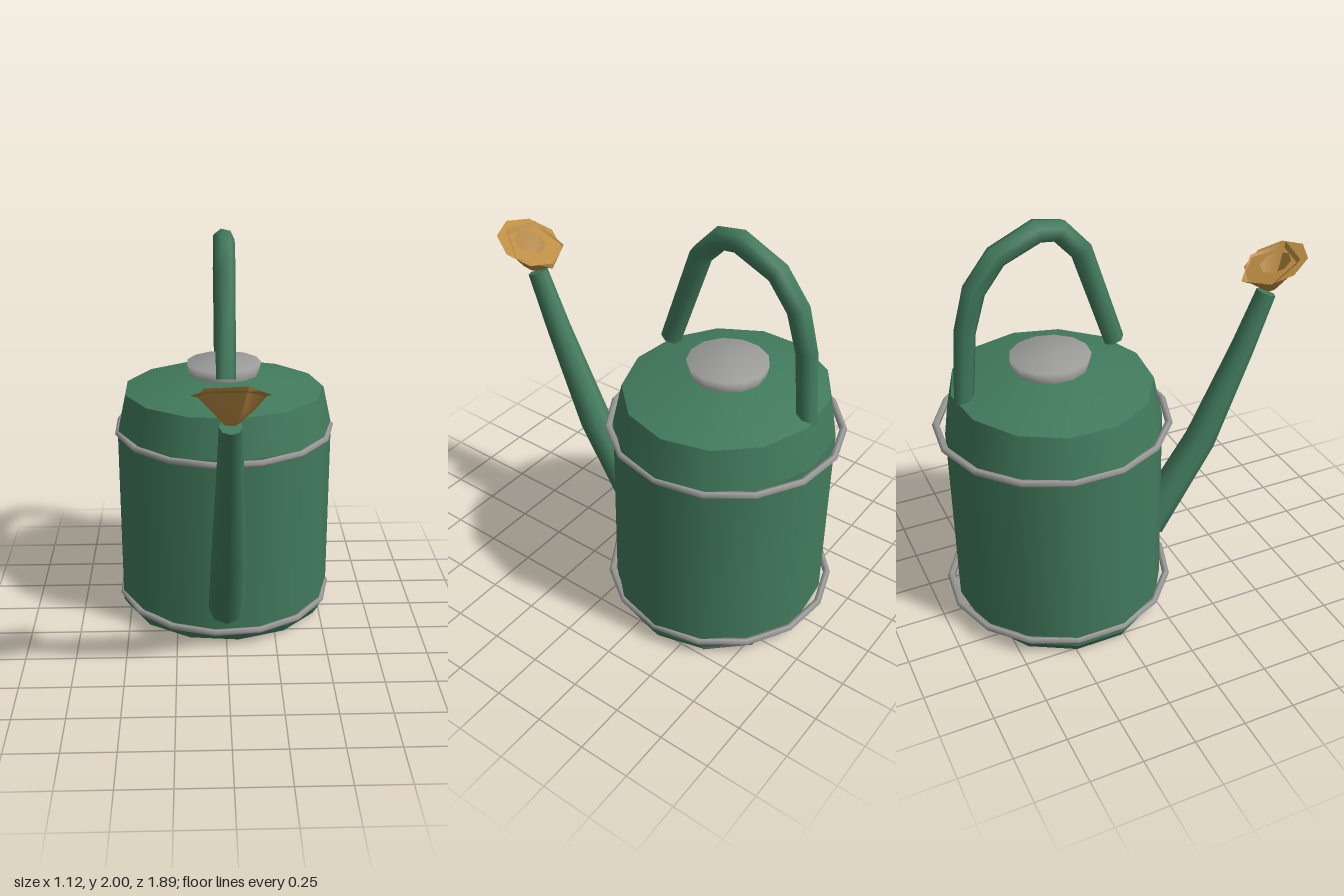
import * as THREE from 'three';

const makeMat = (name, color, side = THREE.FrontSide) => {
  const m = new THREE.MeshStandardMaterial({ color, side });
  m.name = name;
  return m;
};

// Round section of the can: profile of [radius, height], 13 sides with a corner on +x
const lathe = (points, sides = 13, start = Math.PI / 2) =>
  new THREE.LatheGeometry(points.map(([r, y]) => new THREE.Vector2(r, y)), sides, start);

// Capped, tapering tube through [z, y, radius] stations in the x = 0 plane
function bentTube(stations, sides) {
  const X = new THREE.Vector3(1, 0, 0);
  const centres = stations.map(([z, y]) => new THREE.Vector3(0, y, z));
  const pos = [], index = [];
  const n = stations.length;
  const ring = (i) => {
    const t = centres[Math.min(i + 1, n - 1)].clone().sub(centres[Math.max(i - 1, 0)]).normalize();
    const side = t.cross(X);
    for (let j = 0; j < sides; j++) {
      const a = (j / sides) * Math.PI * 2;
      const p = centres[i].clone()
        .addScaledVector(X, Math.cos(a) * stations[i][2])
        .addScaledVector(side, Math.sin(a) * stations[i][2]);
      pos.push(p.x, p.y, p.z);
    }
  };
  for (let i = 0; i < n; i++) ring(i);
  for (let i = 0; i < n - 1; i++) {
    for (let j = 0; j < sides; j++) {
      const a = i * sides + j, b = i * sides + (j + 1) % sides;
      index.push(a, b, b + sides, a, b + sides, a + sides);
    }
  }
  // End caps use their own vertices so their edges stay sharp
  for (const end of [0, n - 1]) {
    const base = pos.length / 3;
    ring(end);
    for (let j = 1; j < sides - 1; j++) {
      if (end === 0) index.push(base, base + j + 1, base + j);
      else index.push(base, base + j, base + j + 1);
    }
  }
  const g = new THREE.BufferGeometry();
  g.setAttribute('position', new THREE.Float32BufferAttribute(pos, 3));
  g.setIndex(index);
  g.computeVertexNormals();
  return g;
}

export function createModel() {
  const green = makeMat('green enamel', 0x417a5c);
  const steel = makeMat('grey steel', 0x9b9b99, THREE.DoubleSide);
  const brass = makeMat('brass', 0xbb8c42, THREE.DoubleSide);

  const model = new THREE.Group();
  model.name = 'wateringCan';
  const add = (parent, name, geometry, material) => {
    const mesh = new THREE.Mesh(geometry, material);
    mesh.name = name;
    parent.add(mesh);
    return mesh;
  };

  // Slightly oval can, split at its hard edges
  const can = new THREE.Group();
  can.name = 'can';
  can.position.z = -0.38;
  model.add(can);
  const shell = {
    base: [[0, 0.003], [0.525, 0.003]],
    foot: [[0.525, 0.003], [0.555, 0.05]],
    wall: [[0.555, 0.05], [0.555, 1.0]],
    shoulder: [[0.555, 1.0], [0.51, 1.2]],
    lid: [[0.51, 1.2], [0.19, 1.28], [0, 1.28]],
  };
  for (const [name, profile] of Object.entries(shell)) {
    add(can, name, lathe(profile), green).scale.z = 0.92;
  }

  // Steel patch on one facet of the foot
  const step = (Math.PI * 2) / 13;
  const patch = new THREE.LatheGeometry(
    [new THREE.Vector2(0.529, 0.001), new THREE.Vector2(0.559, 0.05)],
    1, Math.PI / 2 + step, step);
  add(can, 'footPatch', patch, steel).scale.z = 0.92;

  // Steel hoops
  for (const [name, y] of [['lowerHoop', 0.085], ['upperHoop', 0.995]]) {
    const hoop = add(can, name, new THREE.TorusGeometry(0.548, 0.018, 5, 15), steel);
    hoop.rotation.x = -Math.PI / 2;
    hoop.position.y = y;
  }

  // Filler cap
  add(can, 'fillerCap', lathe([[0.175, 1.27], [0.19, 1.335], [0, 1.34]]), steel)
    .position.z = -0.002;

  // Arched handle
  add(model, 'handle', bentTube([
    [-0.065, 1.345, 0.05], [-0.22, 1.82, 0.053], [-0.32, 1.93, 0.053],
    [-0.42, 1.945, 0.055], [-0.61, 1.86, 0.053], [-0.72, 1.72, 0.053],
    [-0.775, 1.53, 0.05], [-0.805, 1.18, 0.047],
  ], 7), green);

  // Tapering spout
  add(model, 'spout', bentTube([
    [0.125, 0.205, 0.09], [0.42, 0.65, 0.08], [0.64, 1.13, 0.06], [0.758, 1.415, 0.05],
  ], 8), green);

  // Sprinkler rose: open bowl sheared so its mouth leans back
  const bowl = lathe([[0, 0], [0.035, 0], [0.1, 0.06], [0.155, 0.13]], 5, 0.44);
  const p = bowl.attributes.position;
  for (let i = 0; i < p.count; i++) {
    const y = p.getY(i), z = p.getZ(i) * 0.9;
    p.setZ(i, z);
    p.setY(i, y + 0.56 * z * (y / 0.13));
  }
  bowl.computeVertexNormals();
  add(model, 'roseBowl', bowl, brass).position.set(0, 1.432, 0.768);

  // Loose face plate of the rose
  const plate = new THREE.RingGeometry(0.08, 0.165, 8);
  plate.rotateX(-Math.PI / 2 - 0.44);
  add(model, 'rosePlate', plate, brass).position.set(0, 1.565, 0.8);

  return model;
}
